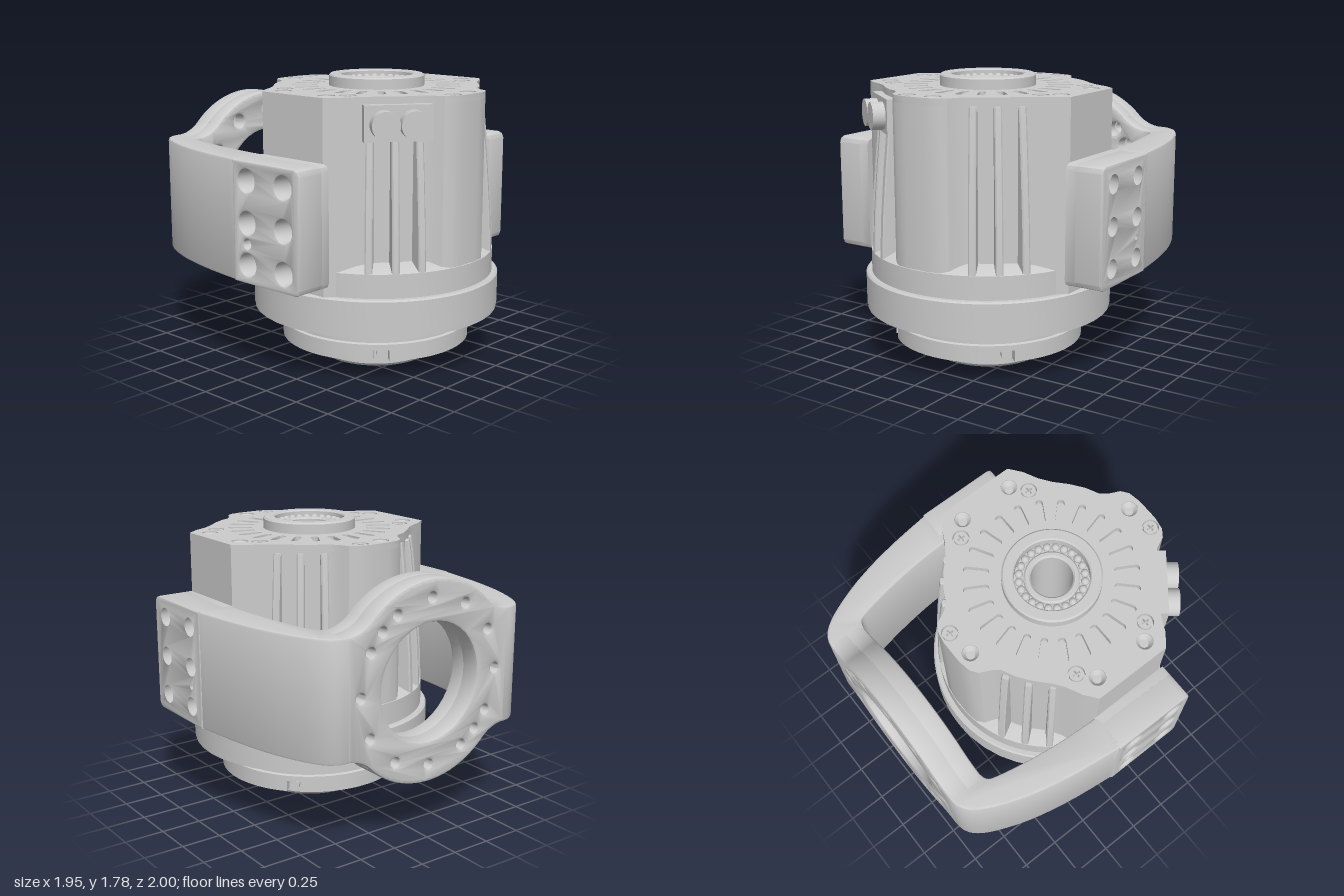
import * as THREE from 'three';
import { toCreasedNormals } from 'three/addons/utils/BufferGeometryUtils.js';

const mat = new THREE.MeshStandardMaterial({ color: 0xcccccc, side: THREE.DoubleSide });
const V = (x, y) => new THREE.Vector2(x, y);
const TAU = Math.PI * 2;

function add(parent, name, geo) {
  const mesh = new THREE.Mesh(geo, mat);
  mesh.name = name;
  parent.add(mesh);
  return mesh;
}

// extrusion along +z whose bevel stays inside the outline and the depth
function extrude(shape, depth, bevel = 0, segs = 2) {
  const geo = new THREE.ExtrudeGeometry(shape, {
    depth: depth - 2 * bevel, curveSegments: 20, bevelEnabled: bevel > 0,
    bevelThickness: bevel, bevelSize: bevel, bevelOffset: -bevel, bevelSegments: segs,
  });
  return toCreasedNormals(geo.translate(0, 0, bevel), 0.5);
}

// plan shape (x, z) raised from y0 to y1
const slab = (shape, y0, y1, bevel) =>
  extrude(shape, y1 - y0, bevel).rotateX(Math.PI / 2).translate(0, y1, 0);

const lathe = (pts) =>
  toCreasedNormals(new THREE.LatheGeometry(pts.map((p) => V(...p)), 72), 0.5);

const hole = (x, y, r) => new THREE.Path().absarc(x, y, r, 0, TAU, true);

function holeCircle(shape, count, radius, r, start = 0) {
  for (let k = 0; k < count; k++) {
    const a = start + (k * TAU) / count;
    shape.holes.push(hole(Math.cos(a) * radius, Math.sin(a) * radius, r));
  }
}

// lobed outline of the finned housing, one quadrant mirrored four ways
function lobedShape() {
  const q = [[0.735, 0.245], [0.66, 0.305], [0.57, 0.35], [0.5, 0.4], [0.42, 0.475], [0.34, 0.535],
    [0.26, 0.575], [0.225, 0.62], [0.195, 0.685], [0.15, 0.718], [0.07, 0.732]];
  const r = [...q].reverse();
  const pts = [...q, ...r.map(([x, z]) => [-x, z]), ...q.map(([x, z]) => [-x, -z]), ...r.map(([x, z]) => [x, -z])];
  return new THREE.Shape(pts.map((p) => V(...p)));
}

function buildMotor() {
  const motor = new THREE.Group();
  motor.name = 'motor';
  motor.position.z = 0.22;

  // output boss and hollow shaft
  add(motor, 'outputBoss', lathe([[0.125, 0], [0.345, 0], [0.365, 0.02], [0.365, 0.14], [0.125, 0.14], [0.125, 0]]));
  add(motor, 'hollowShaft', lathe([[0.125, 0.1], [0.165, 0.1], [0.165, 1.74], [0.155, 1.75], [0.135, 1.75], [0.125, 1.74], [0.125, 0.1]]));

  // output ring with four notches, each holding a clamp screw
  const pts = [];
  const d = 0.08;
  for (let k = 0; k < 4; k++) {
    const a = Math.PI / 4 + (k * Math.PI) / 2;
    const polar = (r, t) => pts.push(V(r * Math.cos(t), r * Math.sin(t)));
    polar(0.53, a - d);
    polar(0.53, a + d);
    for (let i = 0; i <= 16; i++) polar(0.595, a + d + (i / 16) * (Math.PI / 2 - 2 * d));
    const screw = new THREE.CylinderGeometry(0.03, 0.03, 0.06, 16).rotateZ(Math.PI / 2).translate(0.55, 0.155, 0).rotateY(a);
    add(motor, 'clampScrew', screw);
  }
  const notched = new THREE.Shape(pts);
  notched.holes.push(hole(0, 0, 0.3));
  holeCircle(notched, 16, 0.49, 0.02, Math.PI / 16);
  add(motor, 'notchedRing', slab(notched, 0.12, 0.19));

  // turned housing from the output ring up to the fin floor
  add(motor, 'lowerHousing', lathe([[0.15, 0.19], [0.595, 0.19], [0.595, 0.225], [0.575, 0.23], [0.575, 0.24],
    [0.595, 0.245], [0.595, 0.35], [0.775, 0.35], [0.775, 0.545], [0.765, 0.555], [0.738, 0.555],
    [0.738, 0.7], [0.62, 0.75], [0.15, 0.75]]));
  const flange = new THREE.Shape().absarc(0, 0, 0.772, 0, TAU);
  flange.holes.push(hole(0, 0, 0.59));
  holeCircle(flange, 16, 0.69, 0.02, Math.PI / 16);
  add(motor, 'flangeUnderside', slab(flange, 0.325, 0.352));

  // lobed body and fins
  const body = lobedShape();
  body.holes.push(hole(0, 0, 0.15));
  add(motor, 'housingBody', slab(body, 0.555, 1.672));
  const fin = new THREE.Shape([[0.55, 0.69], [0.737, 0.69], [0.725, 0.95], [0.7, 1.25], [0.67, 1.55], [0.655, 1.66], [0.55, 1.66]].map((p) => V(...p)));
  for (let s = 0; s < 4; s++)
    for (const deg of [38, 50.5, 63]) {
      const a = THREE.MathUtils.degToRad(s % 2 ? 180 - deg : deg) + (s > 1 ? Math.PI : 0);
      add(motor, 'fin', extrude(fin, 0.046, 0.008, 1).translate(0, 0, -0.023).rotateY(a));
    }

  // top cover: radial vents, screws and countersunk holes
  const cover = lobedShape();
  cover.holes.push(hole(0, 0, 0.15));
  for (let k = 0; k < 24; k++) {
    const a = (k * TAU) / 24, w = 0.022;
    const c = Math.cos(a), s = Math.sin(a);
    cover.holes.push(new THREE.Path()
      .absarc(0.5 * c, 0.5 * s, w, a - Math.PI / 2, a + Math.PI / 2)
      .absarc(0.39 * c, 0.39 * s, w, a + Math.PI / 2, a + Math.PI * 1.5));
  }
  const screws = [[0.1, -0.67], [-0.1, 0.67]], bores = [[-0.07, -0.65], [0.07, 0.65]];
  for (const sx of [-1, 1])
    for (const sz of [-1, 1]) {
      screws.push([sx * 0.54, sz * 0.255]);
      bores.push([sx * 0.63, sz * 0.175]);
    }
  for (const [x, z] of [...screws, ...bores]) cover.holes.push(hole(x, z, 0.05));
  add(motor, 'topCover', slab(cover, 1.67, 1.712));
  const head = new THREE.Shape().absarc(0, 0, 0.042, 0, TAU);
  const a = 0.006, b = 0.024;
  head.holes.push(new THREE.Path([[b, a], [a, a], [a, b], [-a, b], [-a, a], [-b, a],
    [-b, -a], [-a, -a], [-a, -b], [a, -b], [a, -a], [b, -a]].map((p) => V(...p))));
  for (const [x, z] of screws) add(motor, 'coverScrew', slab(head, 1.67, 1.708).translate(x, 0, z));
  for (const [x, z] of bores)
    add(motor, 'boreSeat', new THREE.CylinderGeometry(0.05, 0.026, 0.03, 20, 1, true).translate(x, 1.69, z));

  // bearing seat and balls
  add(motor, 'bearingSeat', lathe([[0.222, 1.7], [0.222, 1.775], [0.23, 1.783], [0.285, 1.783], [0.295, 1.773], [0.295, 1.7]]));
  for (let k = 0; k < 24; k++) {
    const t = (k * TAU) / 24;
    add(motor, 'bearingBall', new THREE.SphereGeometry(0.025, 12, 8).translate(0.194 * Math.cos(t), 1.735, 0.194 * Math.sin(t)));
  }

  // twin cable connector
  const plug = new THREE.Group();
  plug.name = 'connector';
  plug.rotation.y = THREE.MathUtils.degToRad(-38);
  add(plug, 'connectorBase', new THREE.BoxGeometry(0.4, 0.21, 0.13).translate(0, 1.565, 0.615));
  for (const x of [-0.085, 0.085])
    add(plug, 'connectorSleeve', new THREE.CylinderGeometry(0.083, 0.083, 0.14, 32).rotateX(Math.PI / 2).translate(x, 1.56, 0.685));
  motor.add(plug);
  return motor;
}

// back plate: disc blended into the arms by concave fillets
function backPlateShape(boltRadius) {
  const R = 0.615, f = 0.25, h = 0.365, cx = 0.608;
  const t = Math.atan2(h + f, cx);
  const s = new THREE.Shape();
  s.moveTo(cx, -h).lineTo(cx, h);
  s.absarc(cx, h + f, f, -Math.PI / 2, t - Math.PI, true);
  s.absarc(0, 0, R, t, Math.PI - t, false);
  s.absarc(-cx, h + f, f, -t, -Math.PI / 2, true);
  s.lineTo(-cx, -h);
  s.absarc(-cx, -h - f, f, Math.PI / 2, t, true);
  s.absarc(0, 0, R, Math.PI + t, TAU - t, false);
  s.absarc(cx, -h - f, f, Math.PI - t, Math.PI / 2, true);
  s.holes.push(hole(0, 0, 0.36));
  holeCircle(s, 12, 0.505, boltRadius);
  holeCircle(s, 2, 0.505, boltRadius, Math.PI / 4);
  return s;
}

// flat mounting pad of an arm, drawn in (u, y) with u along -z or +z by side
function padShape(side, boltRadius) {
  const c = 0.04, h = 0.365, z0 = -0.035, z1 = 0.51;
  const corner = [[z0, -h], [z1 - c, -h], [z1 - 0.012, -h + 0.012], [z1, -h + c], [z1, h - c], [z1 - 0.012, h - 0.012], [z1 - c, h], [z0, h]];
  const s = new THREE.Shape(corner.map(([z, y]) => V(-side * z, y)));
  for (const z of [0.08, 0.38])
    for (const y of [-0.25, 0, 0.25]) s.holes.push(hole(-side * z, y, boltRadius));
  s.holes.push(hole(-side * 0.08, -0.125, 0.03));
  return s;
}

function buildBracket() {
  const bracket = new THREE.Group();
  bracket.name = 'bracket';
  const yc = 0.975;
  add(bracket, 'backPlateOuter', extrude(backPlateShape(0.03), 0.14, 0.02).translate(0, yc, -1));
  add(bracket, 'backPlateInner', extrude(backPlateShape(0.045), 0.13, 0.02).translate(0, yc, -0.9));
  for (const side of [-1, 1]) {
    // curved part of the arm
    const outer = [[0.58, -1], [0.65, -0.99], [0.72, -0.94], [0.79, -0.82], [0.87, -0.6], [0.93, -0.32], [0.97, -0.005]];
    const inner = [[0.735, -0.005], [0.722, -0.25], [0.69, -0.5], [0.65, -0.7], [0.625, -0.755], [0.58, -0.77]];
    const curve = (p) => new THREE.SplineCurve(p.map(([x, z]) => V(side * x, z))).getPoints(20);
    add(bracket, 'arm', slab(new THREE.Shape([...curve(outer), ...curve(inner)]), 0.61, 1.34, 0.015));
    // bolted pad: counterbored outside, narrow bolt holes inside
    const layer = (r, x0, x1, bevel) => extrude(padShape(side, r), x1 - x0, bevel)
      .rotateY((side * Math.PI) / 2).translate(side * x0, yc, 0);
    add(bracket, 'armPadOuter', layer(0.07, 0.78, 0.974, 0.012));
    add(bracket, 'armPadInner', layer(0.025, 0.735, 0.8, 0));
    for (const z of [0.08, 0.38])
      for (const y of [-0.25, 0, 0.25]) {
        const ring = new THREE.Shape().absarc(0, 0, 0.05, 0, TAU);
        ring.holes.push(hole(0, 0, 0.022));
        add(bracket, 'armScrew', extrude(ring, 0.05).rotateY((side * Math.PI) / 2).translate(side * 0.79, yc + y, z));
      }
  }
  return bracket;
}

export function createModel() {
  const model = new THREE.Group();
  model.name = 'motorWithBracket';
  model.add(buildMotor(), buildBracket());
  return model;
}
